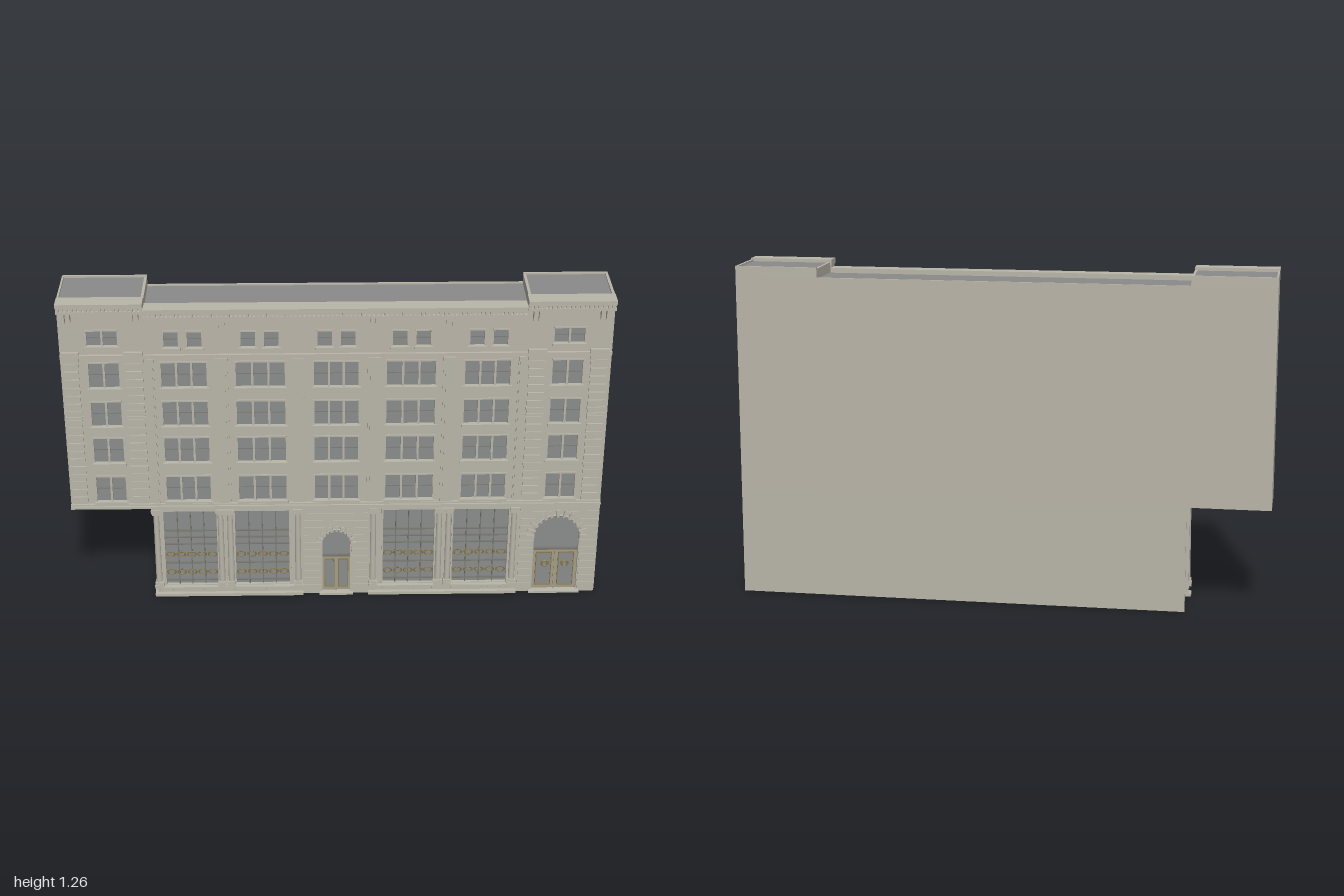
import * as THREE from 'three';
import { mergeGeometries } from 'three/addons/utils/BufferGeometryUtils.js';

const mat = (name, color) => Object.assign(new THREE.MeshStandardMaterial({ color }), { name });

export function createModel() {
  const model = new THREE.Group();
  model.name = 'building';
  const stone = mat('stone', 0xb9b5a9), roofGrey = mat('roof', 0x8a8a8a), glass = mat('glass', 0x8a8c8b);
  const metal = mat('window metal', 0x77766f), doorMat = mat('door', 0xa39d88), bronze = mat('bronze', 0x8c7a45);
  const F = 0.09, BACK = -0.135; // front face and back face of the walls

  // parts with the same name are gathered and merged into one mesh
  const parts = new Map();
  const add = (name, material, geo) => {
    if (!parts.has(name)) parts.set(name, { material, list: [] });
    parts.get(name).list.push(geo.index ? geo.toNonIndexed() : geo);
  };
  const box = (name, material, x0, x1, y0, y1, z0, z1) => add(name, material,
    new THREE.BoxGeometry(x1 - x0, y1 - y0, z1 - z0).translate((x0 + x1) / 2, (y0 + y1) / 2, (z0 + z1) / 2));

  // layout of openings
  const rows = [[0.423, 0.53], [0.59, 0.695], [0.745, 0.847], [0.905, 1.007]];
  const bays = [[-0.555, 0.165], [-0.277, 0.178], [0, 0.162], [0.273, 0.178], [0.552, 0.165]];
  const towers = [-0.845, 0.843];
  const shops = [[-0.655, -0.455], [-0.385, -0.18], [0.178, 0.373], [0.445, 0.655]];
  const arches = [
    { x: 0, r: 0.053, spring: 0.232, door: 0.165, spikes: 11, len: 0.022 },
    { x: 0.843, r: 0.086, spring: 0.255, door: 0.187, spikes: 13, len: 0.03 },
  ];
  const windows = [];
  for (const [y0, y1] of rows) {
    for (const [x, w] of bays) windows.push({ x, w, y0, y1, panes: 3 });
    for (const x of towers) windows.push({ x, w: 0.11, y0, y1, panes: 2 });
  }
  for (const [x] of bays) for (const s of [-1, 1]) windows.push({ x: x + s * 0.0425, w: 0.052, y0: 1.067, y1: 1.13, panes: 1 });
  for (const x of towers) windows.push({ x, w: 0.11, y0: 1.075, y1: 1.136, panes: 2 });

  // front wall with holes
  const wall = new THREE.Shape([[-1, 0.4], [-0.69, 0.4], [-0.69, 0], [1, 0], [1, 1.255], [0.69, 1.255],
    [0.69, 1.225], [-0.69, 1.225], [-0.69, 1.255], [-1, 1.255]].map(p => new THREE.Vector2(...p)));
  const hole = (x0, x1, y0, y1) => wall.holes.push(new THREE.Path(
    [[x0, y0], [x0, y1], [x1, y1], [x1, y0]].map(p => new THREE.Vector2(...p))));
  windows.forEach(w => hole(w.x - w.w / 2, w.x + w.w / 2, w.y0, w.y1));
  shops.forEach(([a, b]) => hole(a, b, 0.045, 0.378));
  for (const a of arches) {
    const p = new THREE.Path();
    p.moveTo(a.x - a.r, 0.008);
    p.lineTo(a.x + a.r, 0.008);
    p.lineTo(a.x + a.r, a.spring);
    p.absarc(a.x, a.spring, a.r, 0, Math.PI, false);
    p.closePath();
    wall.holes.push(p);
  }
  add('frontWall', stone, new THREE.ExtrudeGeometry(wall, { depth: 0.02, bevelEnabled: false, curveSegments: 14 })
    .translate(0, 0, F - 0.02));

  // back and side walls, open below
  box('backWall', stone, -0.69, 1, 0, 0.4, BACK, BACK + 0.008);
  box('backWall', stone, -1, 1, 0.4, 1.218, BACK, BACK + 0.008);
  for (const [a, b] of [[-1, -0.69], [0.69, 1]]) box('backWall', stone, a, b, 1.218, 1.255, BACK, BACK + 0.008);
  box('sideWall', stone, 0.99, 1, 0, 1.255, BACK, F);
  box('sideWall', stone, -1, -0.993, 0.4, 1.255, BACK, F);

  // roofs
  box('roof', roofGrey, -0.7, 0.7, 1.205, 1.212, BACK + 0.008, F - 0.02);
  for (const [a, b] of [[-0.993, -0.7], [0.7, 0.99]]) box('roof', roofGrey, a, b, 1.24, 1.248, BACK + 0.008, F - 0.02);
  for (const s of [-1, 1]) box('roofStep', stone, s * 0.695 - 0.005, s * 0.695 + 0.005, 1.2, 1.25, BACK, F);

  // upper windows: panes, mullions, sash rails and sills
  for (const { x, w, y0, y1, panes } of windows) {
    const a = x - w / 2, b = x + w / 2;
    box('windowGlass', glass, a, b, y0, y1, 0.073, 0.079);
    for (let i = 1; i < panes; i++) {
      const m = a + w * i / panes;
      box('mullion', stone, m - 0.004, m + 0.004, y0, y1, 0.072, 0.09);
    }
    box('sashRail', metal, a, b, (y0 + y1) / 2 - 0.001, (y0 + y1) / 2 + 0.001, 0.079, 0.082);
    box('sill', stone, a - 0.008, b + 0.008, y0 - 0.01, y0, 0.08, 0.099);
    box('lintel', stone, a - 0.004, b + 0.004, y1, y1 + 0.006, 0.08, 0.094);
  }

  // shop windows with bars and ring grilles
  for (const [a, b] of shops) {
    const w = b - a;
    box('shopGlass', glass, a, b, 0.045, 0.378, 0.072, 0.077);
    for (let i = 1; i < 4; i++) box('shopBar', metal, a + w * i / 4 - 0.002, a + w * i / 4 + 0.002, 0.045, 0.378, 0.077, 0.083);
    for (const y of [0.062, 0.14, 0.225, 0.255, 0.285]) box('shopBar', metal, a, b, y - 0.002, y + 0.002, 0.077, 0.084);
    for (const y of [0.1, 0.18]) for (let i = 0; i < 5; i++)
      add('grilleRing', bronze, new THREE.TorusGeometry(0.013, 0.0025, 5, 14).scale(1.2, 0.85, 1)
        .translate(a + w * (i + 0.5) / 5, y, 0.083));
    for (const x of [a - 0.006, b]) box('shopFrame', stone, x, x + 0.006, 0.045, 0.384, 0.085, 0.095);
    box('shopFrame', stone, a - 0.006, b + 0.006, 0.378, 0.384, 0.085, 0.095);
  }

  // engaged columns with bases and capitals
  for (const x of [-0.683, -0.44, -0.404, -0.147, 0.14, 0.391, 0.427, 0.676]) {
    add('column', stone, new THREE.CylinderGeometry(0.0105, 0.012, 0.31, 14).translate(x, 0.22, 0.092));
    for (const [r, y, h] of [[0.017, 0.045, 0.014], [0.015, 0.058, 0.012], [0.014, 0.371, 0.01], [0.018, 0.383, 0.014]])
      box('columnTrim', stone, x - r, x + r, y - h / 2, y + h / 2, 0.08, 0.091 + r);
  }

  // shop base: ledge, dentils and plinth
  for (const [a, b] of [[-0.7, -0.128], [0.122, 0.695]]) {
    box('shopLedge', stone, a, b, 0.034, 0.042, 0.085, 0.105);
    box('plinth', stone, a, b, 0, 0.012, 0.06, 0.105);
    for (let x = a + 0.008; x < b - 0.01; x += 0.024) box('baseDentil', stone, x, x + 0.012, 0.024, 0.034, 0.085, 0.1);
    box('entablature', stone, a, b, 0.388, 0.398, 0.085, 0.103);
  }

  // arched doorways: fanlight, doors and radiating stones
  for (const a of arches) {
    const fan = new THREE.Shape();
    fan.moveTo(a.x - a.r, a.door);
    fan.lineTo(a.x + a.r, a.door);
    fan.lineTo(a.x + a.r, a.spring);
    fan.absarc(a.x, a.spring, a.r, 0, Math.PI, false);
    add('fanlight', glass, new THREE.ExtrudeGeometry(fan, { depth: 0.005, bevelEnabled: false, curveSegments: 14 }).translate(0, 0, 0.072));
    box('door', doorMat, a.x - a.r, a.x + a.r, 0.008, a.door, 0.07, 0.078);
    box('transom', metal, a.x - a.r, a.x + a.r, a.door, a.door + 0.008, 0.072, 0.087);
    for (const s of [-1, 1]) {
      const c = a.x + s * a.r / 2, h = a.r * 0.34;
      box('doorPanel', glass, c - h, c + h, 0.025, a.door - 0.015, 0.078, 0.08);
      for (const e of [-h, h]) box('doorTrim', bronze, c + e - 0.0015, c + e + 0.0015, 0.025, a.door - 0.015, 0.078, 0.083);
      for (const y of [0.025, a.door - 0.015]) box('doorTrim', bronze, c - h, c + h, y - 0.0015, y + 0.0015, 0.078, 0.083);
      if (a.x) add('doorWreath', bronze, new THREE.TorusGeometry(0.012, 0.004, 6, 16).translate(c - s * 0.004, 0.125, 0.084));
    }
    box('doorMeeting', doorMat, a.x - 0.003, a.x + 0.003, 0.008, a.door, 0.078, 0.083);
    for (let i = 0; i < a.spikes; i++) {
      const t = Math.PI * i / (a.spikes - 1);
      add('archStone', stone, new THREE.BoxGeometry(a.len, i % 2 ? 0.008 : 0.011, 0.014)
        .translate(a.r + a.len / 2, 0, 0).rotateZ(t).translate(a.x, a.spring, 0.094));
    }
    add('archRing', stone, new THREE.TorusGeometry(a.r + 0.004, 0.004, 5, 24, Math.PI).translate(a.x, a.spring, 0.091));
    box('doorStep', stone, a.x - a.r - 0.012, a.x + a.r + 0.012, 0, 0.008, 0.06, 0.105);
  }

  // rusticated courses around the doorways
  for (const [a, x0, x1] of [[arches[0], -0.125, 0.12], [arches[1], 0.7, 1]]) {
    for (let i = 0; i < 12; i++) {
      const y0 = 0.012 + i * 0.0322, y1 = y0 + 0.029, R = a.r + 0.004;
      const d = y0 - a.spring;
      const gap = d <= 0 ? R : d < R ? Math.sqrt(R * R - d * d) : 0;
      if (gap) {
        box('rustication', stone, x0, a.x - gap, y0, y1, F - 0.005, F + 0.003);
        box('rustication', stone, a.x + gap, x1, y0, y1, F - 0.005, F + 0.003);
      } else box('rustication', stone, x0, x1, y0, y1, F - 0.005, F + 0.003);
    }
  }

  // belt courses
  box('lowerBelt', stone, -1, 1, 0.398, 0.408, 0.07, 0.107);
  box('lowerBelt', stone, -1, 1, 0.408, 0.415, 0.07, 0.1);
  box('upperBelt', stone, -1, 1, 1.032, 1.042, 0.08, 0.1);
  box('upperBelt', stone, -1, 1, 1.024, 1.032, 0.08, 0.096);

  // slim pilasters between the bays
  for (const x of [-0.675, -0.418, -0.139, 0.137, 0.412, 0.675]) {
    const h = Math.abs(x) > 0.6 ? 0.012 : 0.023;
    box('bayPilaster', stone, x - h, x + h, 0.415, 1.024, 0.085, 0.094);
    box('bayPilaster', stone, x - h * 0.6, x + h * 0.6, 0.43, 1.01, 0.09, 0.098);
    box('bayCapital', stone, x - h, x + h, 1.01, 1.026, 0.085, 0.102);
  }

  // banded tower pilasters
  for (const [a, b] of [[-0.99, -0.935], [-0.765, -0.703], [0.7, 0.76], [0.925, 0.987]]) {
    for (let i = 0; i < 18; i++) box('towerPilaster', stone, a, b, 0.416 + i * 0.033, 0.446 + i * 0.033, 0.085, 0.096);
    for (const y of [0.575, 0.785, 0.81]) box('pilasterBand', stone, a - 0.003, b + 0.003, y - 0.005, y + 0.005, 0.085, 0.1);
    box('towerCapital', stone, a - 0.004, b + 0.004, 1.012, 1.054, 0.085, 0.102);
  }

  // stepped cornice with dentils and brackets
  const cornice = (a, b, top, z, back, brackets) => {
    box('cornice', stone, a, b, top - 0.012, top, back, z);
    box('cornice', stone, a, b, top - 0.02, top - 0.012, back, z - 0.007);
    box('cornice', stone, a, b, top - 0.044, top - 0.034, F - 0.02, z - 0.012);
    box('cornice', stone, a, b, top - 0.034, top - 0.02, F - 0.02, z - 0.022);
    for (let x = a + 0.003; x < b - 0.009; x += 0.0165) box('dentil', stone, x, x + 0.009, top - 0.034, top - 0.02, F, z - 0.012);
    for (const c of brackets) for (const s of [-1, 1]) {
      const x = c + s * 0.01;
      [[0.044, 0.06, 0.014], [0.06, 0.077, 0.024], [0.077, 0.092, 0.033]].forEach(([t, u, d]) =>
        box('bracket', stone, x - 0.006, x + 0.006, top - u, top - t, F - 0.005, Math.max(z - d, F + 0.005)));
    }
  };
  cornice(-0.69, 0.685, 1.23, 0.117, 0.056, [-0.418, -0.139, 0.137, 0.412]);
  cornice(-1, -0.69, 1.26, 0.133, 0.068, [-0.967, -0.724]);
  cornice(0.685, 1, 1.26, 0.133, 0.068, [0.722, 0.964]);

  for (const [name, { material, list }] of parts) {
    const mesh = new THREE.Mesh(mergeGeometries(list), material);
    mesh.name = name;
    model.add(mesh);
  }
  return model;
}
